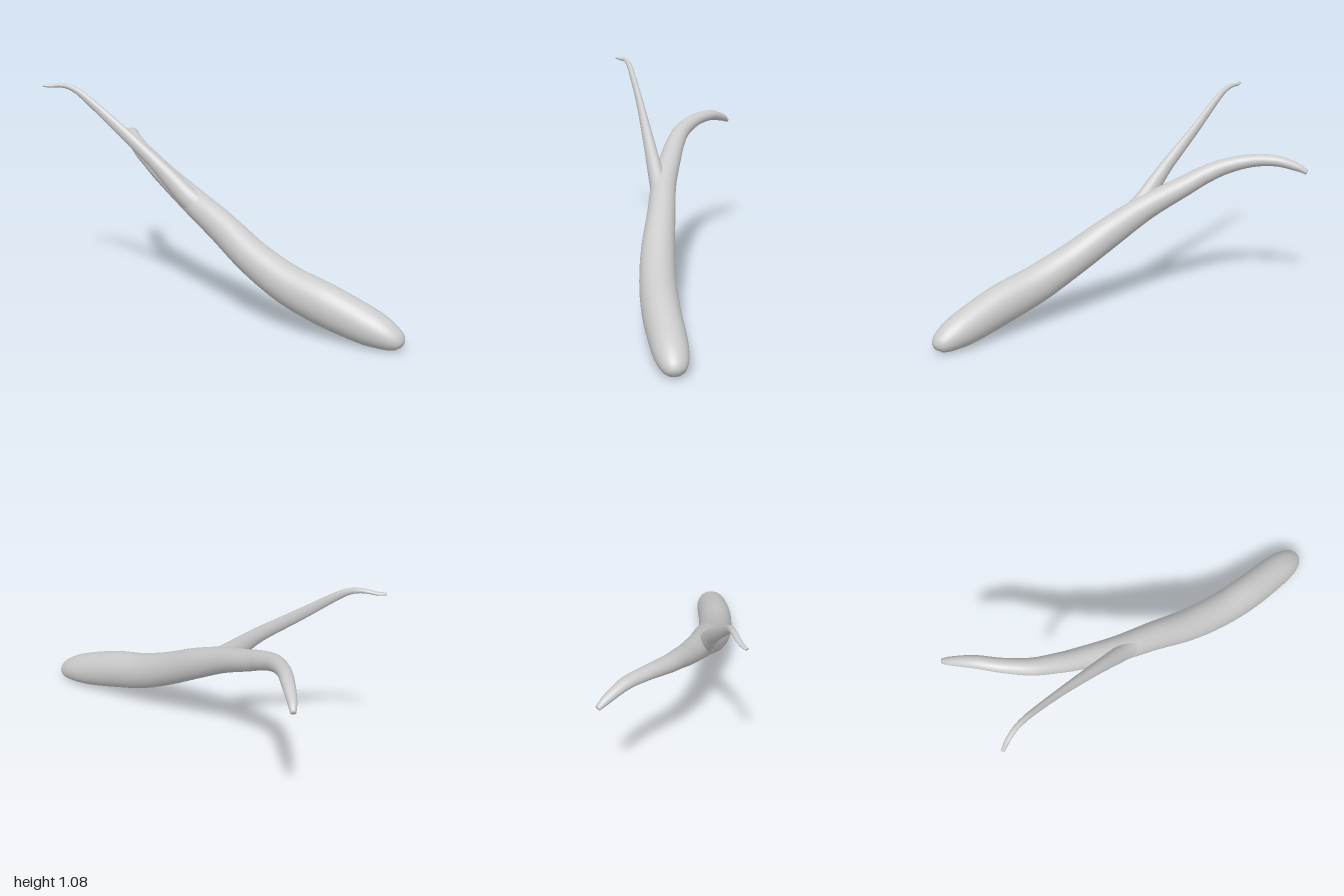
import * as THREE from 'three';

const material = new THREE.MeshStandardMaterial({ color: 0xcccccc });
const UP = new THREE.Vector3(0, 1, 0);

// Smooth closed limb through stations [x, y, z, vertical radius, sideways radius]
function limb(name, stations, rings, sides = 28) {
  const path = new THREE.CatmullRomCurve3(
    stations.map(s => new THREE.Vector3(s[0], s[1], s[2])), false, 'catmullrom', 0.5);
  const radii = new THREE.CatmullRomCurve3(
    stations.map(s => new THREE.Vector3(s[3], s[4], 0)), false, 'catmullrom', 0.5);
  const positions = [];
  const index = [];

  for (let i = 0; i <= rings; i++) {
    const t = i / rings;
    const centre = path.getPoint(t);
    const tangent = path.getTangent(t);
    const r = radii.getPoint(t);
    const side = new THREE.Vector3().crossVectors(tangent, UP).normalize();
    const rise = new THREE.Vector3().crossVectors(side, tangent);
    for (let j = 0; j < sides; j++) {
      const a = (j / sides) * Math.PI * 2;
      const p = centre.clone()
        .addScaledVector(side, Math.cos(a) * r.y)
        .addScaledVector(rise, Math.sin(a) * r.x);
      positions.push(p.x, p.y, p.z);
      if (i < rings) {
        const k = (j + 1) % sides;
        const p0 = i * sides + j, p1 = i * sides + k;
        index.push(p0, p0 + sides, p1, p1, p0 + sides, p1 + sides);
      }
    }
  }

  // Close both ends
  const start = path.getPoint(0), end = path.getPoint(1);
  const first = positions.length / 3;
  positions.push(start.x, start.y, start.z, end.x, end.y, end.z);
  for (let j = 0; j < sides; j++) {
    const k = (j + 1) % sides;
    index.push(first, j, k, first + 1, rings * sides + k, rings * sides + j);
  }

  const geometry = new THREE.BufferGeometry();
  geometry.setAttribute('position', new THREE.Float32BufferAttribute(positions, 3));
  geometry.setIndex(index);
  geometry.computeVertexNormals();
  const mesh = new THREE.Mesh(geometry, material);
  mesh.name = name;
  return mesh;
}

export function createModel() {
  const model = new THREE.Group();
  model.name = 'forkedRoot';

  // Swollen body that narrows into the thick, backward-curling tail
  model.add(limb('bodyAndCurledTail', [
    [0.993, 0.042, 0.300, 0.012, 0.015],
    [0.980, 0.050, 0.300, 0.036, 0.042],
    [0.950, 0.064, 0.299, 0.056, 0.062],
    [0.890, 0.086, 0.298, 0.076, 0.078],
    [0.800, 0.113, 0.296, 0.092, 0.086],
    [0.600, 0.175, 0.290, 0.104, 0.090],
    [0.400, 0.237, 0.268, 0.098, 0.088],
    [0.200, 0.330, 0.230, 0.088, 0.083],
    [0.000, 0.445, 0.175, 0.081, 0.072],
    [-0.200, 0.550, 0.122, 0.067, 0.064],
    [-0.400, 0.643, 0.045, 0.054, 0.055],
    [-0.500, 0.693, 0.000, 0.048, 0.049],
    [-0.600, 0.735, -0.057, 0.042, 0.043],
    [-0.700, 0.767, -0.150, 0.034, 0.036],
    [-0.780, 0.773, -0.250, 0.029, 0.032],
    [-0.850, 0.745, -0.335, 0.022, 0.023],
    [-0.882, 0.718, -0.378, 0.012, 0.014],
  ], 110));

  // Slender upper tail that grows out of the front of the body
  model.add(limb('slenderTail', [
    [-0.020, 0.450, 0.172, 0.045, 0.040],
    [-0.120, 0.515, 0.158, 0.056, 0.046],
    [-0.200, 0.565, 0.156, 0.054, 0.042],
    [-0.300, 0.655, 0.161, 0.045, 0.035],
    [-0.400, 0.742, 0.166, 0.036, 0.029],
    [-0.600, 0.895, 0.174, 0.028, 0.019],
    [-0.770, 1.027, 0.188, 0.020, 0.015],
    [-0.840, 1.070, 0.195, 0.015, 0.014],
    [-0.900, 1.084, 0.203, 0.011, 0.013],
    [-0.960, 1.080, 0.220, 0.008, 0.012],
    [-0.998, 1.081, 0.238, 0.006, 0.009],
  ], 70, 20));

  return model;
}
